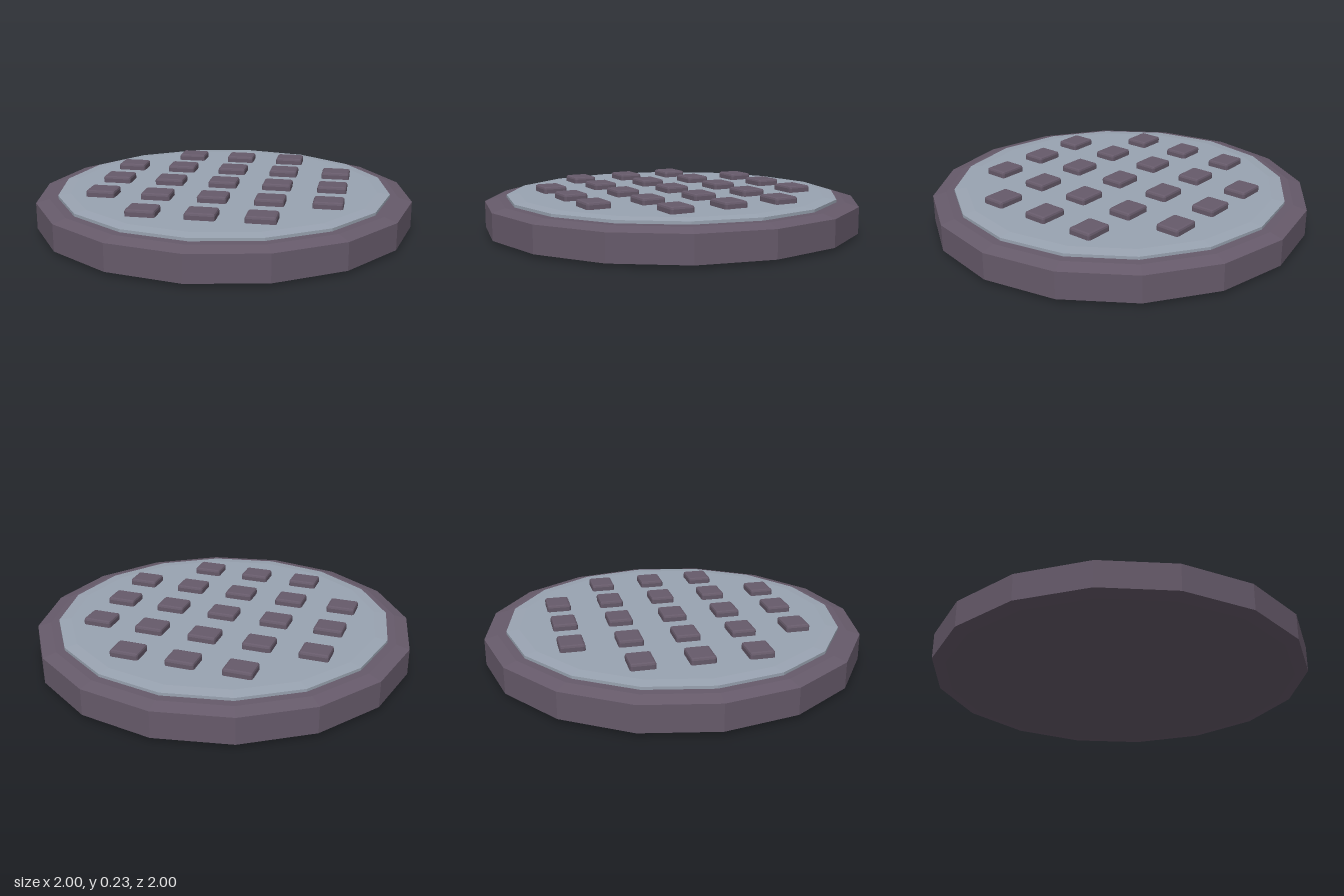
import * as THREE from 'three';
import { RoundedBoxGeometry } from 'three/addons/geometries/RoundedBoxGeometry.js';

const SIDES = 16;

function flat(name, color) {
  const m = new THREE.MeshStandardMaterial({ color, flatShading: true });
  m.name = name;
  return m;
}

// closed sixteen-sided disc from [radius, height] pairs, bottom to top
function disc(name, profile, material) {
  const points = profile.map(([r, y]) => new THREE.Vector2(r, y));
  const mesh = new THREE.Mesh(new THREE.LatheGeometry(points, SIDES), material);
  mesh.name = name;
  return mesh;
}

export function createModel() {
  const group = new THREE.Group();
  group.name = 'studdedDisc';
  const purple = flat('dusky purple', 0x665a6a);
  const grey = flat('blue grey', 0x99a3b1);

  // base with chamfered outer edges
  group.add(disc('base', [
    [0, 0], [0.93, 0], [1, 0.016], [1, 0.155], [0.93, 0.174], [0, 0.176],
  ], purple));

  // raised plate with a shallow bevel
  group.add(disc('plate', [
    [0, 0.165], [0.885, 0.165], [0.885, 0.189], [0.82, 0.196], [0, 0.196],
  ], grey));

  // grid of studs, without the four corners
  const studs = new THREE.Group();
  studs.name = 'studs';
  const studGeometry = new RoundedBoxGeometry(0.152, 0.06, 0.128, 1, 0.012);
  const spacing = 0.292;
  for (let row = -2; row <= 2; row++) {
    for (let col = -2; col <= 2; col++) {
      if (Math.abs(row) === 2 && Math.abs(col) === 2) continue;
      const stud = new THREE.Mesh(studGeometry, purple);
      stud.name = 'stud';
      stud.position.set(col * spacing, 0.2, row * spacing);
      studs.add(stud);
    }
  }
  group.add(studs);
  return group;
}
